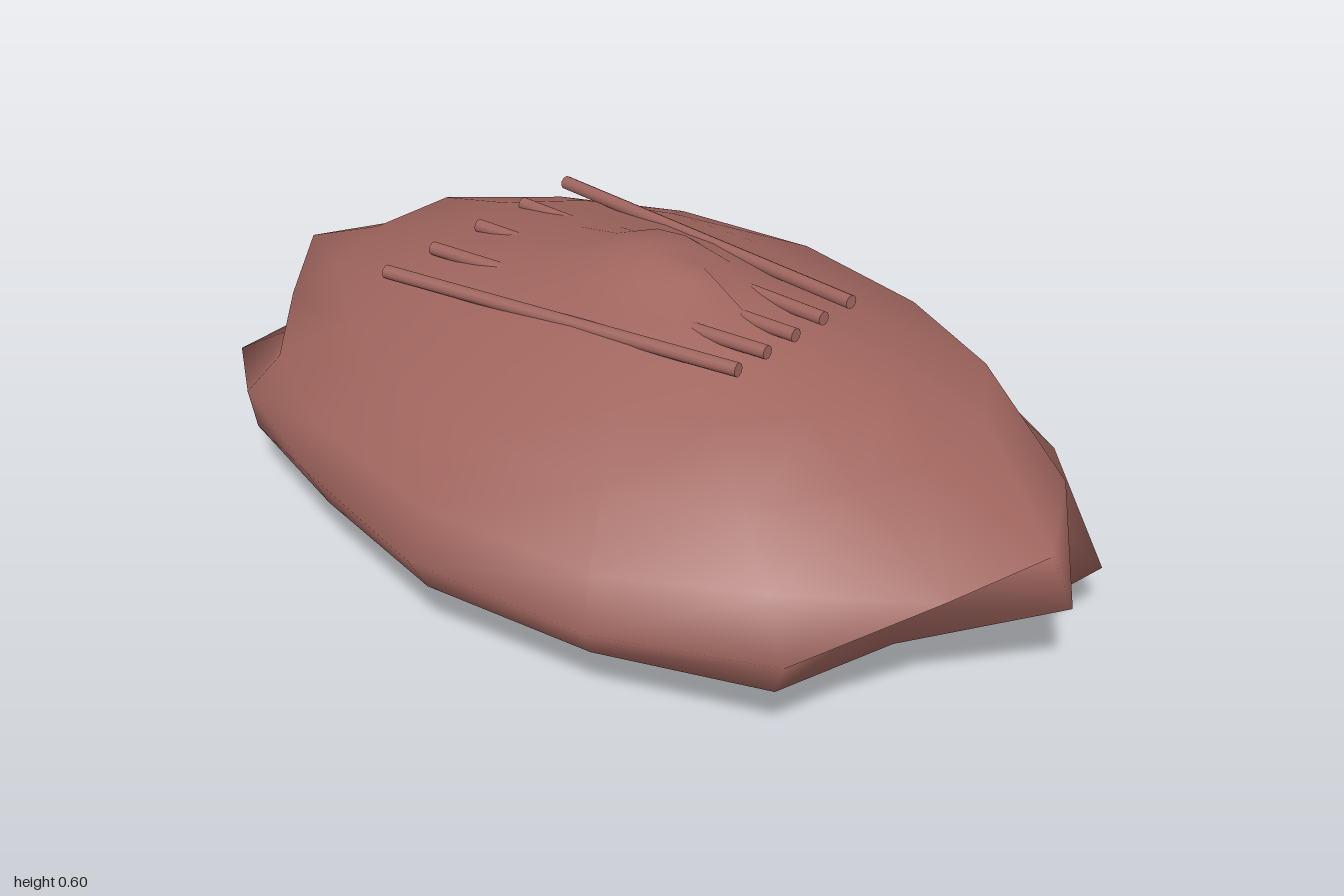
import * as THREE from 'three';

// Widest outline, counter-clockwise from above: [x, z]
const OUTLINE = [
  [1, 0], [0.91, -0.25], [0.67, -0.44], [0.37, -0.59],
  [-0.02, -0.68], [-0.42, -0.63], [-0.75, -0.48], [-1, -0.26],
  [-0.98, 0], [-0.93, 0.24], [-0.68, 0.44], [-0.38, 0.58],
  [-0.01, 0.67], [0.39, 0.63], [0.72, 0.48], [0.89, 0.24],
];

// Rings from top to bottom: height, and the fraction of the outline
// (one for the whole ring, or one per corner where the rim is lumpy)
const RINGS = [
  { y: 0.582, f: [0.17, 0.12, 0.11, 0.14, 0.16, 0.15, 0.12, 0.11, 0.11, 0.12, 0.13, 0.14, 0.14, 0.14, 0.14, 0.15] },
  { y: 0.54, f: 0.24 },
  { y: 0.475, f: [0.57, 0.55, 0.53, 0.5, 0.5, 0.52, 0.53, 0.52, 0.51, 0.52, 0.54, 0.55, 0.55, 0.55, 0.55, 0.56] },
  { y: 0.39, f: [0.68, 0.74, 0.82, 0.8, 0.77, 0.76, 0.75, 0.75, 0.78, 0.75, 0.75, 0.75, 0.74, 0.74, 0.74, 0.72] },
  { y: 0.3, f: [0.95, 0.91, 0.88, 0.9, 0.9, 0.93, 0.92, 0.85, 0.99, 0.87, 0.93, 0.95, 0.93, 0.93, 0.88, 1] },
  { y: 0.21, f: [1, 0.88, 1, 1, 1, 1, 1, 1, 0.97, 0.88, 1.02, 1, 1, 1, 1, 0.85] },
  { y: 0.13, f: [0.87, 1, 0.92, 1, 0.94, 1, 0.97, 0.78, 0.97, 1.02, 1, 0.94, 0.93, 0.92, 0.95, 0.85] },
  { y: 0.065, f: 0.69 },
  { y: 0.02, f: 0.41 },
];

function bodyGeometry() {
  const n = OUTLINE.length;
  const positions = [-0.02, 0.6, 0];
  const indices = [];
  for (const { y, f } of RINGS) {
    OUTLINE.forEach(([x, z], i) => {
      const scale = Array.isArray(f) ? f[i] : f;
      positions.push(x * scale, y, z * scale);
    });
  }
  positions.push(-0.02, 0.003, 0);
  const last = 1 + n * RINGS.length;
  for (let i = 0; i < n; i++) {
    const j = (i + 1) % n;
    indices.push(0, 1 + i, 1 + j);
    for (let r = 0; r < RINGS.length - 1; r++) {
      const a = 1 + r * n + i, b = 1 + r * n + j;
      indices.push(a, a + n, b, b, a + n, b + n);
    }
    indices.push(last - n + i, last, last - n + j);
  }
  const geometry = new THREE.BufferGeometry();
  geometry.setAttribute('position', new THREE.Float32BufferAttribute(positions, 3));
  geometry.setIndex(indices);
  geometry.computeVertexNormals();
  return geometry;
}

// Straight round rod between two points
function rod(from, to, radius, material) {
  const axis = to.clone().sub(from);
  const mesh = new THREE.Mesh(new THREE.CylinderGeometry(radius, radius, axis.length(), 10), material);
  mesh.position.copy(from).add(to).multiplyScalar(0.5);
  mesh.quaternion.setFromUnitVectors(new THREE.Vector3(0, 1, 0), axis.normalize());
  return mesh;
}

export function createModel() {
  const model = new THREE.Group();
  const brown = new THREE.MeshStandardMaterial({ color: 0xa0655e });
  brown.name = 'reddish brown';

  const body = new THREE.Mesh(bodyGeometry(), brown);
  body.name = 'body';
  model.add(body);

  // Five ridges fanning out toward -x, partly sunk into the top
  const ridges = new THREE.Group();
  ridges.name = 'ridges';
  for (let k = -2; k <= 2; k++) {
    const ridge = rod(
      new THREE.Vector3(-0.46, 0.493, k * 0.132),
      new THREE.Vector3(0.36, 0.537, k * 0.085), 0.014, brown);
    ridge.name = 'ridge';
    ridges.add(ridge);
  }
  model.add(ridges);
  return model;
}
